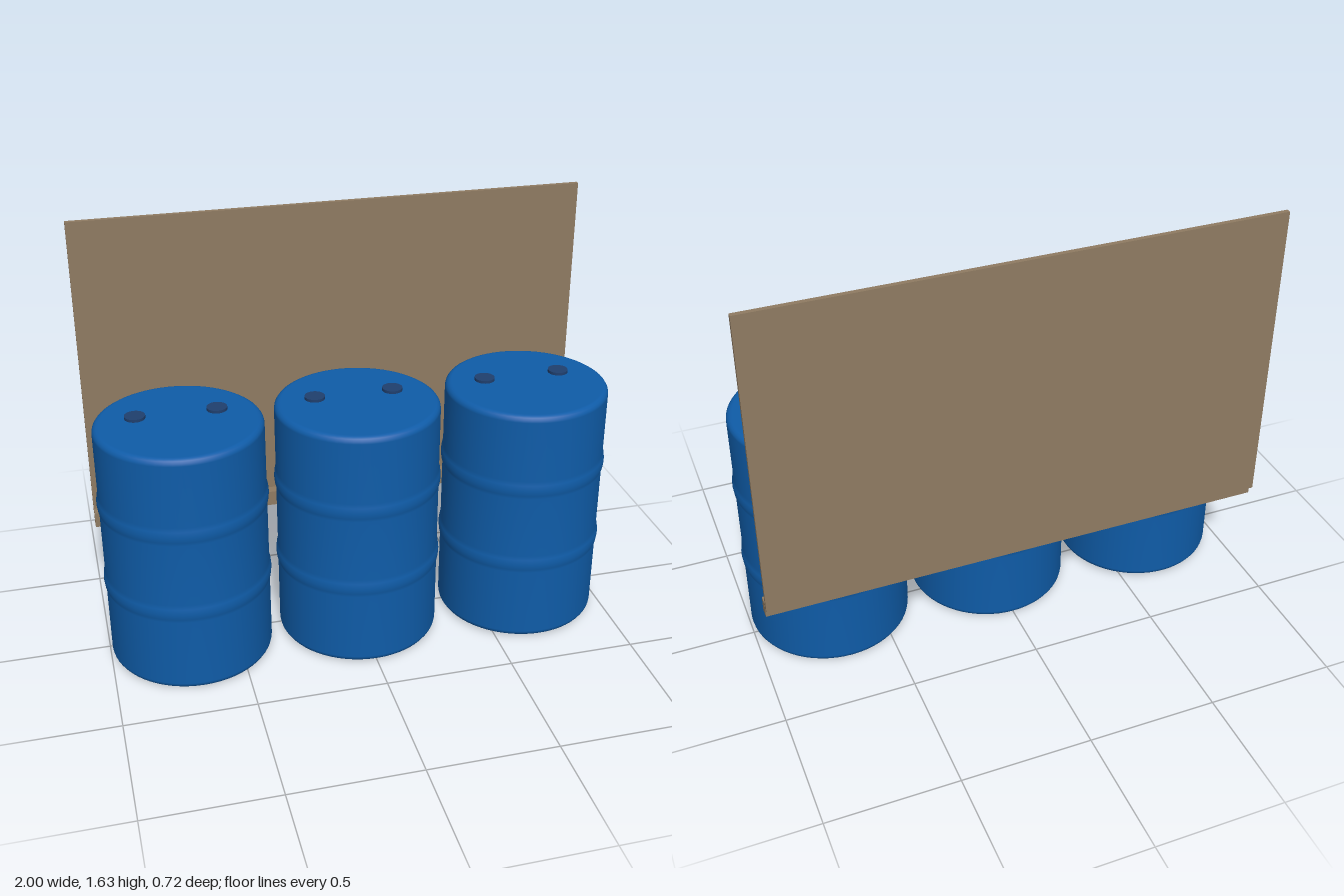
import * as THREE from 'three';

const plastic = new THREE.MeshStandardMaterial({ color: 0x0f5ca8 });
plastic.name = 'blue plastic';
const capPlastic = new THREE.MeshStandardMaterial({ color: 0x1f3f6e });
capPlastic.name = 'dark blue cap';
const wood = new THREE.MeshStandardMaterial({ color: 0x8f7b62 });
wood.name = 'brown wood';

function addMesh(parent, name, geometry, material, x, y, z) {
  const mesh = new THREE.Mesh(geometry, material);
  mesh.name = name;
  mesh.position.set(x, y, z);
  parent.add(mesh);
  return mesh;
}

// Barrel profile: rounded rims and two swollen hoops
function barrelGeometry() {
  const R = 0.315, H = 0.98, rim = 0.025;
  const pts = [new THREE.Vector2(0, 0)];
  for (let i = 0; i <= 4; i++) {
    const a = (i / 4) * Math.PI / 2;
    pts.push(new THREE.Vector2(R - rim + rim * Math.sin(a), rim - rim * Math.cos(a)));
  }
  for (const y of [0.34, 0.67]) {
    for (const [dr, dy] of [[0, -0.038], [0.005, -0.022], [0.0075, 0], [0.005, 0.022], [0, 0.038]]) {
      pts.push(new THREE.Vector2(R + dr, y + dy));
    }
  }
  for (let i = 0; i <= 4; i++) {
    const a = (i / 4) * Math.PI / 2;
    pts.push(new THREE.Vector2(R - rim + rim * Math.cos(a), H - rim + rim * Math.sin(a)));
  }
  pts.push(new THREE.Vector2(0, H));
  return new THREE.LatheGeometry(pts, 64);
}

export function createModel() {
  const model = new THREE.Group();
  model.name = 'barrels with backboard';

  // Row of three barrels, each with two bung caps
  const body = barrelGeometry();
  const cap = new THREE.CylinderGeometry(0.039, 0.039, 0.02, 24);
  for (const x of [-0.677, 0, 0.677]) {
    const barrel = new THREE.Group();
    barrel.name = 'barrel';
    barrel.position.set(x, 0, 0.038);
    addMesh(barrel, 'barrelBody', body, plastic, 0, 0, 0);
    for (const side of [-1, 1]) {
      addMesh(barrel, 'bungCap', cap, capPlastic, side * 0.152, 0.981, -0.056);
    }
    model.add(barrel);
  }

  // Backboard panel and the rail along its lower edge
  addMesh(model, 'backboard', new THREE.BoxGeometry(2, 1.22, 0.018), wood, 0, 1.025, -0.354);
  addMesh(model, 'rail', new THREE.BoxGeometry(2, 0.062, 0.04), wood, 0, 0.405, -0.32);

  return model;
}
